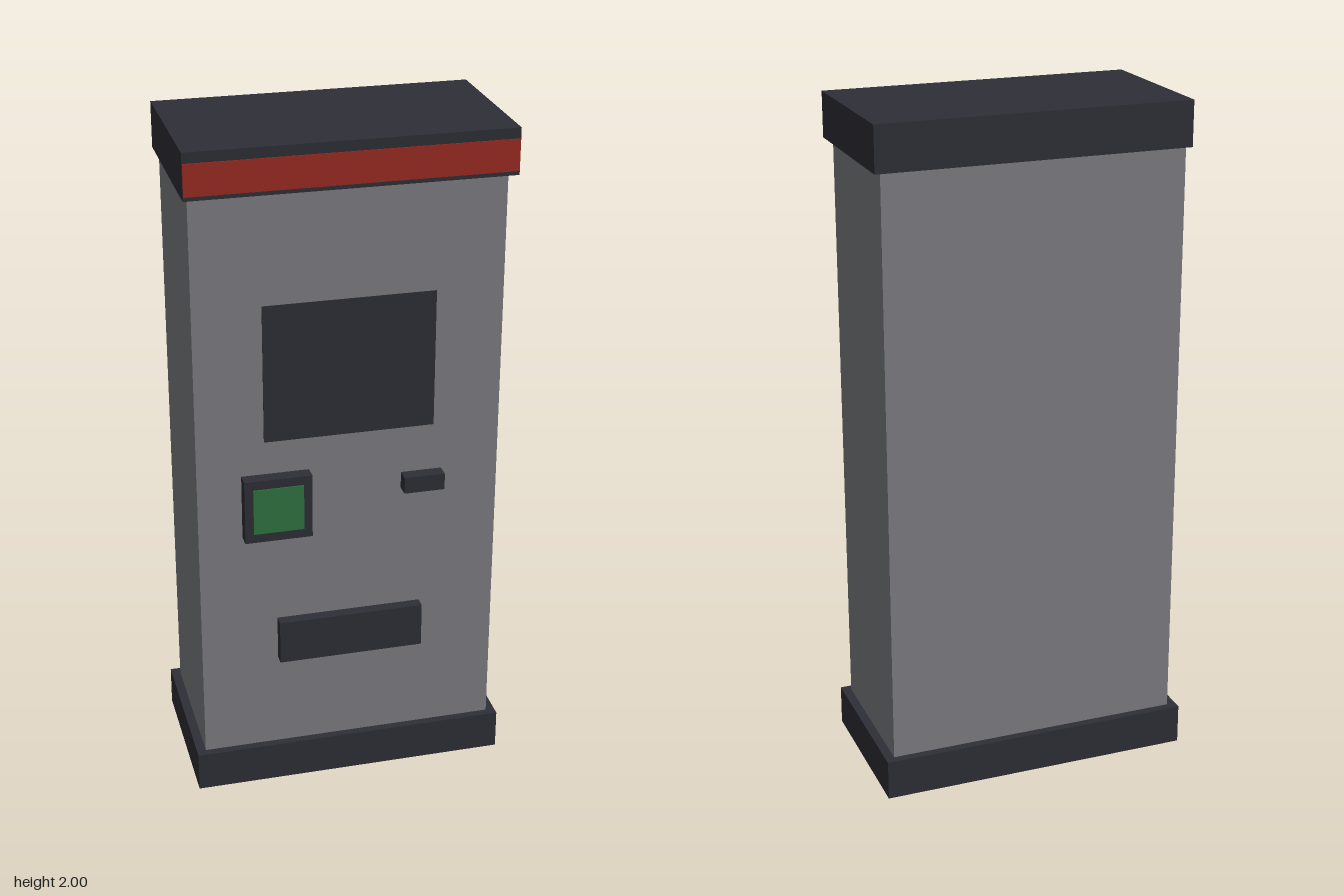
import * as THREE from 'three';

const material = (name, color) => {
  const m = new THREE.MeshStandardMaterial({ color });
  m.name = name;
  return m;
};

export function createModel() {
  const group = new THREE.Group();
  group.name = 'kiosk';

  const grey = material('cabinet grey', 0x7e7f83);
  const dark = material('dark trim', 0x2e2e37);
  const red = material('red stripe', 0x9b2b22);
  const green = material('green display', 0x307441);

  // Box given by its limits on each axis
  const box = (name, mat, [x0, x1], [y0, y1], [z0, z1]) => {
    const mesh = new THREE.Mesh(new THREE.BoxGeometry(x1 - x0, y1 - y0, z1 - z0), mat);
    mesh.position.set((x0 + x1) / 2, (y0 + y1) / 2, (z0 + z1) / 2);
    mesh.name = name;
    group.add(mesh);
  };

  const front = 0.211; // front face of the cabinet

  // Cabinet with plinth and overhanging cap
  box('base', dark, [-0.47, 0.47], [0, 0.12], [-0.255, 0.235]);
  box('cabinet', grey, [-0.443, 0.443], [0.12, 1.87], [-0.23, front]);
  box('cap', dark, [-0.46, 0.46], [1.868, 2], [-0.237, 0.252]);
  box('capStripe', red, [-0.459, 0.459], [1.88, 1.97], [0.25, 0.255]);

  // Flat screen
  box('screen', dark, [-0.248, 0.248], [1.13, 1.54], [front - 0.002, front + 0.002]);

  // Raised reader with a lit display
  box('reader', dark, [-0.315, -0.118], [0.835, 1.03], [front - 0.01, 0.252]);
  box('readerDisplay', green, [-0.29, -0.143], [0.863, 1.003], [0.25, 0.255]);

  // Card slot and collection tray
  box('cardSlot', dark, [0.154, 0.274], [0.937, 0.987], [front - 0.01, 0.252]);
  box('tray', dark, [-0.216, 0.216], [0.417, 0.552], [front - 0.01, 0.245]);

  return group;
}
